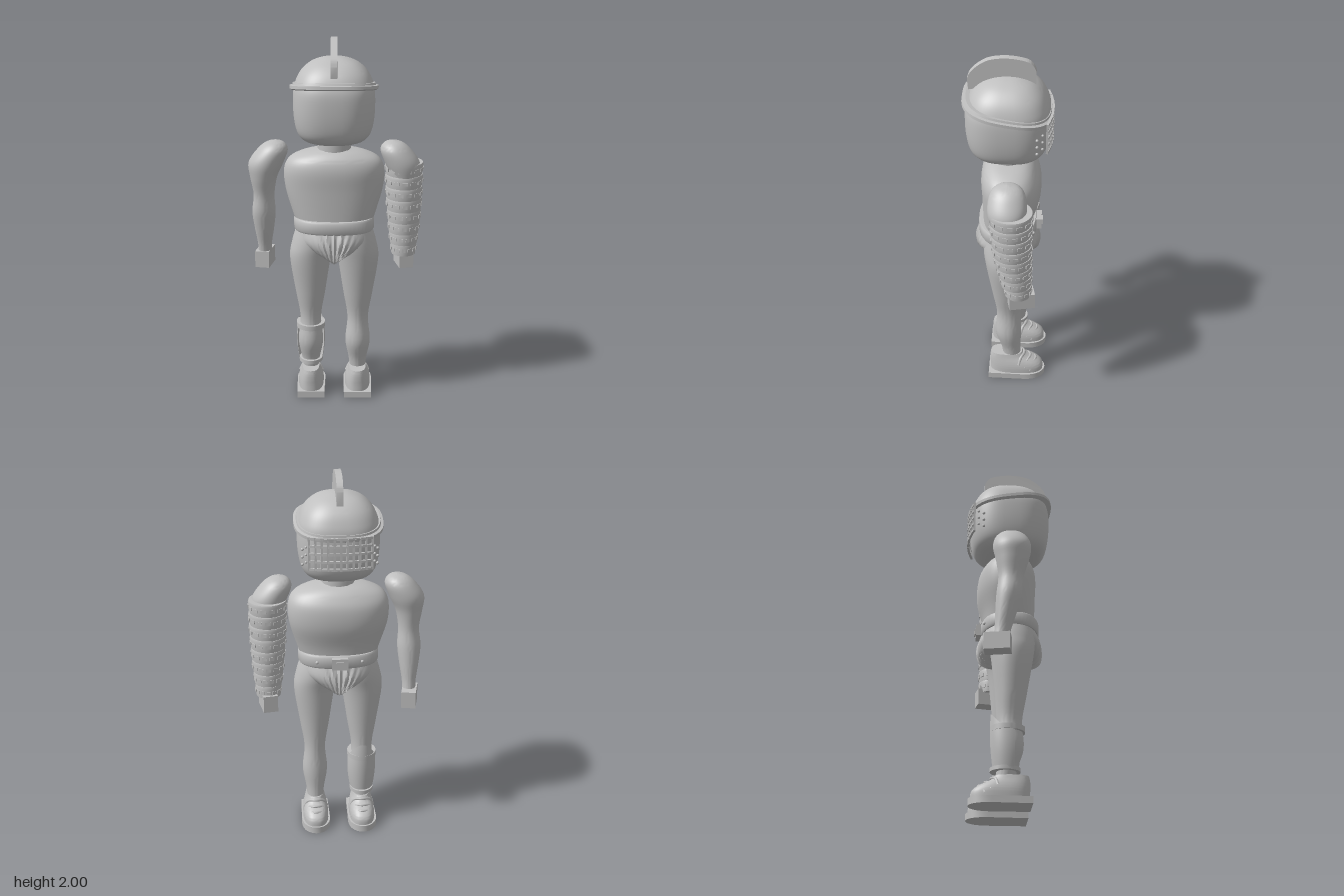
import * as THREE from 'three';
import { toCreasedNormals } from 'three/addons/utils/BufferGeometryUtils.js';

const grey = new THREE.MeshStandardMaterial({ color: 0xc0c0c0, side: THREE.DoubleSide });
grey.name = 'plainGrey';

// Stack of superellipse rings. Each section: [y, centreX, centreZ, radiusX, radiusZ], y ascending.
function loft(sections, { power = 2, steps = 5, around = 40 } = {}) {
  const rows = [];
  const at = i => sections[Math.min(Math.max(i, 0), sections.length - 1)];
  for (let i = 0; i < sections.length - 1; i++) {
    for (let k = 0; k < steps; k++) {
      const t = k / steps;
      rows.push(at(i).map((b, c) => {
        const a = at(i - 1)[c], d = at(i + 1)[c], e = at(i + 2)[c];
        if (steps === 1) return b;
        return b + 0.5 * t * (d - a + t * (2 * a - 5 * b + 4 * d - e + t * (3 * (b - d) + e - a)));
      }));
    }
  }
  rows.push(at(sections.length - 1));
  const pos = [], index = [];
  const soft = v => Math.sign(v) * Math.abs(v) ** (2 / power);
  for (const [y, cx, cz, rx, rz] of rows) {
    for (let j = 0; j < around; j++) {
      const a = j / around * Math.PI * 2;
      pos.push(cx + rx * soft(Math.cos(a)), y, cz + rz * soft(Math.sin(a)));
    }
  }
  const last = rows.length - 1, low = rows.length * around, high = low + 1;
  for (const [y, cx, cz] of [rows[0], rows[last]]) pos.push(cx, y, cz);
  for (let j = 0; j < around; j++) {
    const n = (j + 1) % around;
    for (let i = 0; i < last; i++) {
      const p = i * around, q = p + around;
      index.push(p + j, q + j, p + n, p + n, q + j, q + n);
    }
    index.push(low, j, n, high, last * around + n, last * around + j);
  }
  const g = new THREE.BufferGeometry();
  g.setAttribute('position', new THREE.Float32BufferAttribute(pos, 3));
  g.setIndex(index);
  return toCreasedNormals(g, 0.7);
}

function add(parent, name, geometry, x = 0, y = 0, z = 0) {
  const m = new THREE.Mesh(geometry, grey);
  m.name = name;
  m.position.set(x, y, z);
  parent.add(m);
  return m;
}

function group(parent, name) {
  const g = new THREE.Group();
  g.name = name;
  parent.add(g);
  return g;
}

function buildHead(body) {
  const head = group(body, 'head');
  add(head, 'helmet', loft([
    [1.455, 0, 0, 0.12, 0.13], [1.475, 0, 0, 0.168, 0.172], [1.52, 0, 0, 0.198, 0.202],
    [1.61, 0, 0, 0.213, 0.217], [1.72, 0, 0, 0.213, 0.217], [1.78, 0, 0, 0.198, 0.2],
    [1.83, 0, 0, 0.168, 0.17], [1.87, 0, 0, 0.12, 0.122], [1.893, 0, 0, 0.06, 0.06],
    [1.9, 0, 0, 0.004, 0.004]], { power: 2.7, around: 56 }));
  // Tilted brim with a thinner lip above it
  const brim = add(head, 'brim', loft([[-0.014, 0, 0, 0.222, 0.225], [-0.008, 0, 0, 0.232, 0.236],
    [0.008, 0, 0, 0.232, 0.236], [0.011, 0, 0, 0.218, 0.222], [0.022, 0, 0, 0.215, 0.219]],
  { power: 2.7, steps: 1, around: 56 }), 0, 1.742, 0);
  brim.rotation.x = -0.16;
  // Crest, drawn in side profile
  const s = new THREE.Shape();
  s.moveTo(-0.2, 1.82);
  s.lineTo(-0.205, 1.88);
  s.splineThru([[-0.19, 1.915], [-0.15, 1.957], [-0.09, 1.99], [0, 2], [0.09, 1.985], [0.125, 1.96], [0.14, 1.93]]
    .map(p => new THREE.Vector2(...p)));
  s.lineTo(0.14, 1.84);
  s.lineTo(0, 1.87);
  s.lineTo(-0.14, 1.83);
  const crest = new THREE.ExtrudeGeometry(s, { depth: 0.034, bevelEnabled: false, curveSegments: 20 });
  crest.translate(0, 0, -0.017).rotateY(Math.PI / 2);
  add(head, 'crest', toCreasedNormals(crest, 0.5));
  // Curved face grille
  const grille = group(head, 'grille'), cols = 10, w = 0.32 / cols;
  const bend = x => -0.228 + x * x;
  for (let i = 0; i <= cols; i++) {
    const x = -0.16 + i * w;
    add(grille, 'grilleBar', new THREE.BoxGeometry(0.012, 0.175, 0.012), x, 1.632, bend(x));
    if (i === cols) break;
    for (let r = 0; r < 5; r++) {
      const m = x + w / 2;
      add(grille, 'grilleRail', new THREE.BoxGeometry(w * 1.05, 0.012, 0.012), m, 1.551 + r * 0.0405, bend(m))
        .rotation.y = -2 * m;
    }
  }
  // Cheek rivets
  for (const side of [-1, 1]) for (let i = 0; i < 3; i++) {
    add(head, 'rivet', new THREE.SphereGeometry(0.008, 10, 8), side * 0.192, 1.56 + i * 0.04, -0.153);
    add(head, 'rivet', new THREE.SphereGeometry(0.007, 10, 8), side * 0.175, 1.58 + i * 0.04, -0.18);
  }
}

function buildTorso(body) {
  add(body, 'neck', loft([[1.38, 0, 0, 0.088, 0.085], [1.47, 0, 0, 0.088, 0.085]], { steps: 1, around: 12 }));
  add(body, 'torso', loft([[0.98, 0, 0, 0.195, 0.13], [1.08, 0, -0.005, 0.228, 0.138],
    [1.2, 0, -0.018, 0.262, 0.155], [1.3, 0, -0.015, 0.267, 0.156], [1.36, 0, -0.008, 0.237, 0.135],
    [1.395, 0, -0.005, 0.165, 0.105], [1.412, 0, 0, 0.08, 0.07]], { power: 2.3 }));
  add(body, 'belt', loft([[0.97, 0, 0, 0.21, 0.15], [0.98, 0, 0, 0.216, 0.156],
    [1.03, 0, 0, 0.216, 0.156], [1.04, 0, 0, 0.21, 0.15]], { steps: 1, power: 2.4, around: 48 }));
  add(body, 'buckle', new THREE.BoxGeometry(0.085, 0.062, 0.03), 0, 1.005, -0.165);
  add(body, 'bucklePin', new THREE.BoxGeometry(0.04, 0.03, 0.012), 0, 1.005, -0.182);
  for (const x of [-0.12, 0.12]) add(body, 'beltStud', new THREE.SphereGeometry(0.009, 10, 8), x, 1.005, -0.14);
  // Pleated loincloth
  const cloth = loft([[0.8, 0, 0, 0.02, 0.12], [0.825, 0, 0, 0.06, 0.155], [0.87, 0, 0, 0.145, 0.168],
    [0.92, 0, 0, 0.203, 0.166], [0.98, 0, 0, 0.205, 0.145]], { power: 2.2, around: 120 });
  const p = cloth.attributes.position;
  for (let i = 0; i < p.count; i++) {
    const x = p.getX(i), y = p.getY(i);
    const fan = x / (0.35 + (y - 0.8) * 5);
    p.setZ(i, p.getZ(i) * (1 + 0.045 * Math.cos(fan * 190) * Math.max(0, 1 - Math.abs(x) / 0.14)));
  }
  cloth.deleteAttribute('normal');
  add(body, 'loincloth', toCreasedNormals(cloth, 0.7));
}

function buildLeg(body, side) {
  const leg = group(body, side > 0 ? 'leftLeg' : 'rightLeg');
  const c = side * 0.13;
  add(leg, 'legSkin', loft([[0.12, c, -0.03, 0.042, 0.05], [0.2, c, -0.022, 0.05, 0.054],
    [0.31, c, -0.008, 0.068, 0.072], [0.45, c, -0.01, 0.057, 0.066], [0.6, c, -0.002, 0.08, 0.083],
    [0.8, side * 0.13, 0.005, 0.11, 0.11], [0.9, side * 0.115, 0.002, 0.112, 0.125], [0.99, side * 0.1, 0, 0.1, 0.12]]));
  // Shoe: squared heel, rounded toe
  const shoe = group(leg, 'shoe');
  shoe.position.x = c;
  const o = new THREE.Shape();
  o.moveTo(-0.075, -0.103);
  o.lineTo(0.075, -0.103);
  o.lineTo(0.079, 0.1);
  o.bezierCurveTo(0.079, 0.255, -0.079, 0.255, -0.079, 0.1);
  const sole = new THREE.ExtrudeGeometry(o, { depth: 0.036, bevelEnabled: false, curveSegments: 20 });
  add(shoe, 'sole', toCreasedNormals(sole.rotateX(-Math.PI / 2), 0.6));
  add(shoe, 'shoeUpper', loft([[0.03, 0, -0.055, 0.07, 0.15], [0.07, 0, -0.053, 0.069, 0.148],
    [0.1, 0, -0.037, 0.063, 0.133], [0.13, 0, -0.007, 0.053, 0.102], [0.155, 0, 0.002, 0.046, 0.088]], { power: 2.6 }));
  [[-0.1, 0.143], [-0.135, 0.122], [-0.165, 0.103]].forEach(([z, y], i) => {
    const curve = new THREE.CatmullRomCurve3([[-0.062, y - 0.05], [-0.04, y - 0.012], [0, y], [0.04, y - 0.012], [0.062, y - 0.05]]
      .map(([x, h]) => new THREE.Vector3(x, h, z + Math.abs(x) * 0.5)));
    add(shoe, 'shoeStrap', new THREE.TubeGeometry(curve, 16, i ? 0.007 : 0.009, 6));
  });
  if (side > 0) return;
  // Shin guard, rising to a peak at the knee
  const plate = new THREE.CylinderGeometry(1, 1, 1, 32, 8, true, Math.PI - 1.9, 3.8);
  const p = plate.attributes.position;
  for (let i = 0; i < p.count; i++) {
    const t = p.getY(i) + 0.5, x = p.getX(i), z = p.getZ(i);
    const bulge = Math.sin(Math.min(t, 1) * Math.PI) * 0.008;
    p.setXYZ(i, x * (0.064 + 0.01 * t + bulge), 0.19 + t * (0.21 + 0.085 * Math.max(0, -z) ** 2),
      -0.015 + z * (0.078 + 0.012 * t + bulge));
  }
  plate.computeVertexNormals();
  add(leg, 'shinGuard', plate, c);
  const strap = (y, h, cz, rx, rz) =>
    add(leg, 'shinStrap', loft([[y, c, cz, rx, rz], [y + h, c, cz, rx, rz]], { steps: 1 }));
  strap(0.388, 0.028, -0.018, 0.079, 0.09);
  strap(0.178, 0.02, -0.03, 0.065, 0.078);
}

function buildArm(body, side) {
  const arm = group(body, side > 0 ? 'leftArm' : 'rightArm');
  add(arm, 'armSkin', loft([
    [0.8, 0.38, -0.07, 0.036, 0.04], [0.86, 0.38, -0.06, 0.038, 0.043], [0.95, 0.38, -0.045, 0.052, 0.055],
    [1.05, 0.38, -0.03, 0.063, 0.065], [1.15, 0.377, -0.02, 0.056, 0.065], [1.25, 0.377, -0.012, 0.072, 0.085],
    [1.33, 0.363, -0.012, 0.093, 0.1], [1.4, 0.328, -0.012, 0.082, 0.09], [1.438, 0.315, -0.012, 0.05, 0.058],
    [1.452, 0.312, -0.012, 0.005, 0.005]].map(([y, x, ...r]) => [y, side * x, ...r])));
  add(arm, 'hand', new THREE.BoxGeometry(0.078, 0.092, 0.135), side * 0.382, 0.774, -0.087).rotation.y = 0.2 * side;
  if (side < 0) return;
  // Banded sleeve with rows of staggered scales
  const at = y => {
    const t = (1.33 - y) / 0.53, drop = t * t;
    return [0.374 + 0.006 * t, -0.032 - 0.05 * drop, 0.103 - 0.043 * drop, 0.112 - 0.05 * drop];
  };
  const sleeve = group(arm, 'sleeve'), bands = 8, h = 0.53 / bands;
  for (let i = 0; i < bands; i++) {
    const top = 1.33 - i * h, [x, z, rx, rz] = at(top);
    add(sleeve, 'sleeveBand', loft([[top - h, x, z, rx * 0.93, rz * 0.93], [top - 0.012, x, z, rx, rz],
      [top, x, z, rx * 0.97, rz * 0.97]], { steps: 1 }));
    for (let k = 0; k < 14; k++) {
      const a = (k + (i % 2) / 2) / 14 * Math.PI * 2;
      add(sleeve, 'scale', new THREE.BoxGeometry(0.008, 0.018, rx * 0.28),
        x + Math.cos(a) * rx * 0.97, top - 0.033, z + Math.sin(a) * rz * 0.97).rotation.y = -a;
    }
  }
}

export function createModel() {
  const model = new THREE.Group();
  model.name = 'armouredFigure';
  const body = group(model, 'body');
  body.position.x = -0.012;
  buildHead(body);
  buildTorso(body);
  for (const side of [-1, 1]) {
    buildLeg(body, side);
    buildArm(body, side);
  }
  return model;
}
